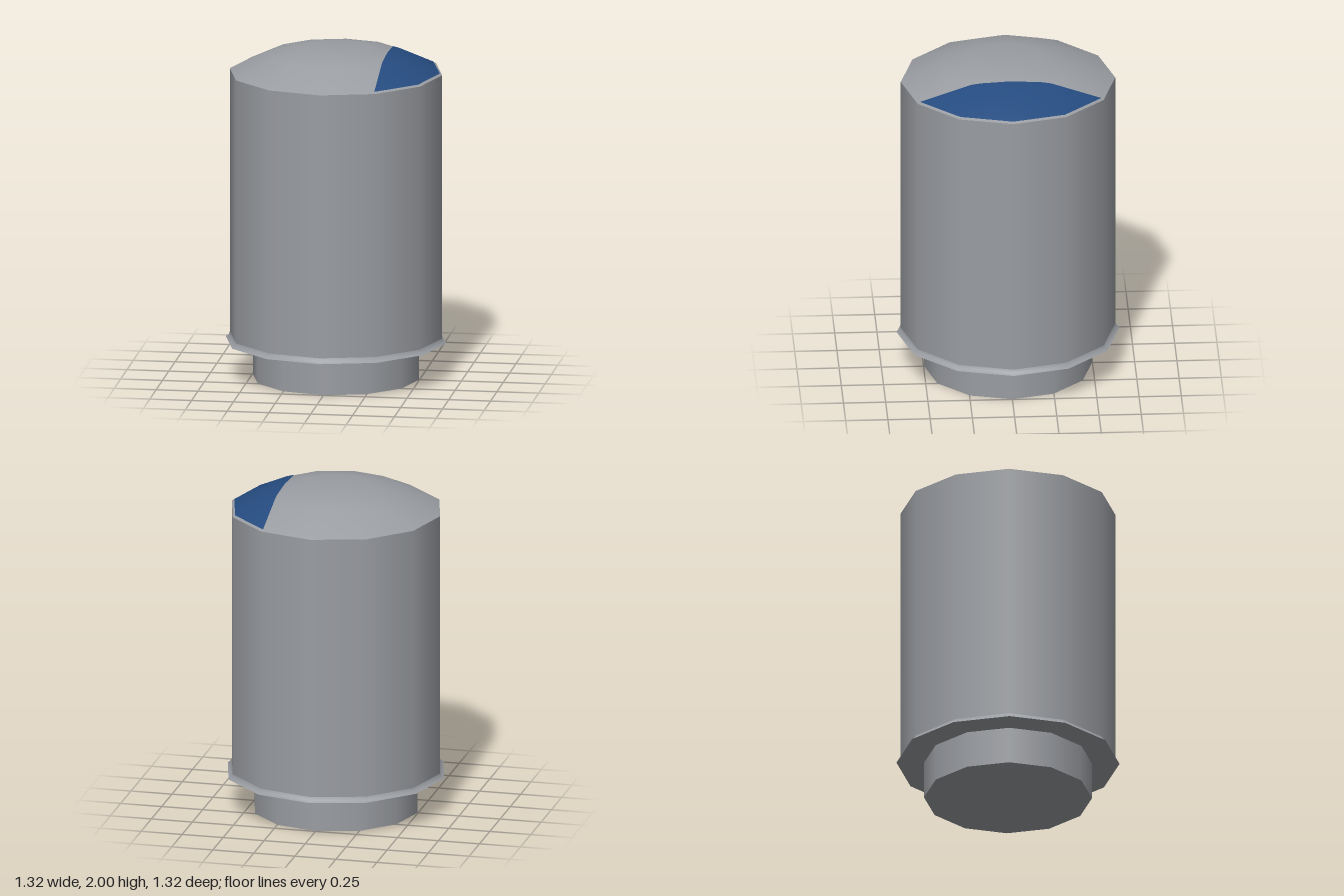
import * as THREE from 'three';

const SIDES = 12;
// Dome profile, rim to crown: [radius, height]
const DOME = [[0.635, 1.85], [0.4, 1.96], [0.2, 2.0], [0, 2.0]];

// Height of the twelve-sided dome above any point
function domeHeight(x, z) {
  let r = 0;
  for (let k = 0; k < SIDES; k++) {
    const a = (k + 0.5) * 2 * Math.PI / SIDES;
    r = Math.max(r, (x * Math.cos(a) + z * Math.sin(a)) / Math.cos(Math.PI / SIDES));
  }
  for (let i = 0; i < DOME.length - 1; i++) {
    const [r0, y0] = DOME[i], [r1, y1] = DOME[i + 1];
    if (r >= r1) return y0 + (y1 - y0) * (r0 - r) / (r0 - r1);
  }
  return 2;
}

export function createModel() {
  const group = new THREE.Group();
  const grey = new THREE.MeshStandardMaterial({ color: 0x9a9da2 });
  grey.name = 'grey metal';
  const blue = new THREE.MeshStandardMaterial({ color: 0x254b7f });
  blue.name = 'dark blue';

  function add(name, geometry, material) {
    const mesh = new THREE.Mesh(geometry, material);
    mesh.name = name;
    group.add(mesh);
  }
  const lathe = (points) =>
    new THREE.LatheGeometry(points.map(([r, y]) => new THREE.Vector2(r, y)), SIDES);

  // Base plug
  add('baseWall', lathe([[0.497, 0], [0.497, 0.225]]), grey);
  add('baseBottom', lathe([[0, 0], [0.497, 0]]), grey);

  // Body with flared lower lip
  add('lipUnderside', lathe([[0.49, 0.225], [0.66, 0.225]]), grey);
  add('lip', lathe([[0.66, 0.225], [0.642, 0.237], [0.635, 0.255]]), grey);
  add('bodyWall', lathe([[0.635, 0.255], [0.635, 1.85]]), grey);
  add('dome', lathe(DOME), grey);

  // Blue segment lying on the dome, from a straight chord to the rim
  const R = 0.62, chord = 0.31, half = R * Math.sin(Math.PI / 3);
  const edge = (z) => {
    const a = Math.abs(z), s = R / 2, c = R * Math.cos(Math.PI / 6);
    return a < s ? R + (c - R) * a / s : c + (chord - c) * (a - s) / (half - s);
  };
  const patch = new THREE.PlaneGeometry(1, 1, 12, 52);
  const p = patch.attributes.position, n = patch.attributes.normal;
  const v = new THREE.Vector3();
  for (let i = 0; i < p.count; i++) {
    const z = -p.getY(i) * 2 * half;
    const x = chord + (p.getX(i) + 0.5) * (edge(z) - chord);
    const y = domeHeight(x, z);
    p.setXYZ(i, x, y + 0.003, z);
    v.set(x, y - 0.58, z).normalize();
    n.setXYZ(i, v.x, v.y, v.z);
  }
  add('blueTopSegment', patch, blue);

  return group;
}
